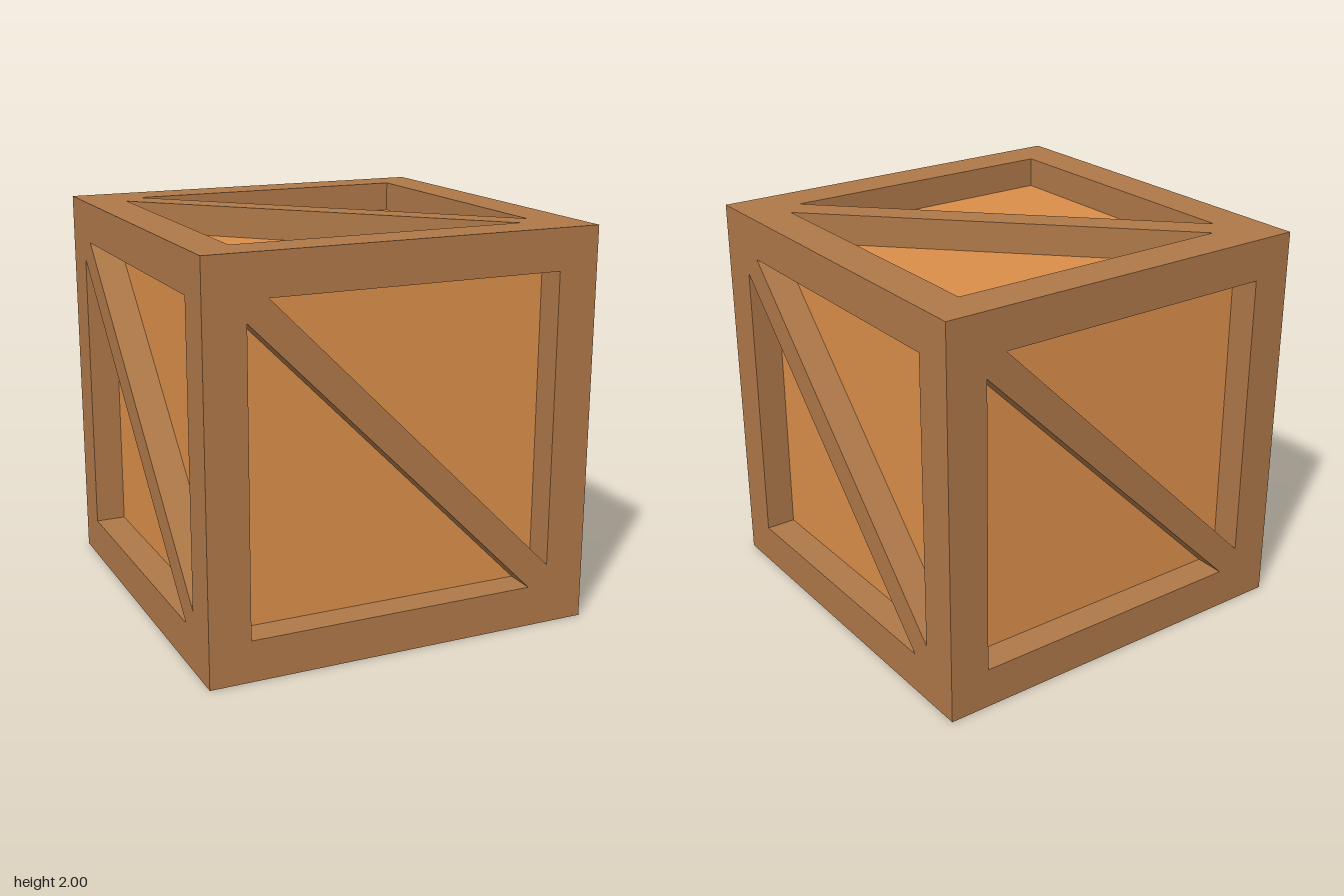
import * as THREE from 'three';

const IN = 0.793;             // half width of each panel opening
const T = 1 - IN;             // beam thickness
const DEPTH = 0.155;          // how far the panels sit back
const CUT = 0.69;             // where the brace edges meet the frame

export function createModel() {
  const crate = new THREE.Group();
  crate.name = 'crate';
  const body = new THREE.Group();
  body.position.y = 1;
  crate.add(body);

  const frameMat = new THREE.MeshStandardMaterial({ color: 0xae7848 });
  const panelMat = new THREE.MeshStandardMaterial({ color: 0xdb8e4a });

  const add = (name, geometry, material) => {
    const mesh = new THREE.Mesh(geometry, material);
    mesh.name = name;
    body.add(mesh);
    return mesh;
  };

  // Recessed panels: one inner box
  const core = 2 - 2 * DEPTH;
  add('panels', new THREE.BoxGeometry(core, core, core), panelMat);

  // Twelve edge beams: full-height posts, with rails fitted between them
  const post = new THREE.BoxGeometry(T, 2, T);
  const railX = new THREE.BoxGeometry(2 * IN, T, T);
  const railZ = new THREE.BoxGeometry(T, T, 2 * IN);
  const c = 1 - T / 2;
  for (const a of [-c, c]) {
    for (const b of [-c, c]) {
      add('cornerPost', post, frameMat).position.set(a, 0, b);
      add('crossRail', railX, frameMat).position.set(0, a, b);
      add('sideRail', railZ, frameMat).position.set(a, b, 0);
    }
  }

  // Diagonal brace with ends cut to fit the frame corners
  const outline = [
    [-IN, IN], [-IN, CUT], [CUT, -IN], [IN, -IN], [IN, -CUT], [-CUT, IN],
  ].map(([x, y]) => new THREE.Vector2(x, y));
  const brace = new THREE.ExtrudeGeometry(new THREE.Shape(outline), {
    depth: DEPTH, bevelEnabled: false,
  });
  brace.translate(0, 0, 1 - DEPTH);

  // One brace per face
  const q = Math.PI / 2;
  const faces = {
    front: [0, 0, 0], right: [0, q, 0], back: [0, 2 * q, 0], left: [0, -q, 0],
    top: [-q, 0, 0], bottom: [q, 0, q],
  };
  for (const [side, turn] of Object.entries(faces)) {
    add(side + 'Brace', brace, frameMat).rotation.set(...turn);
  }
  return crate;
}
